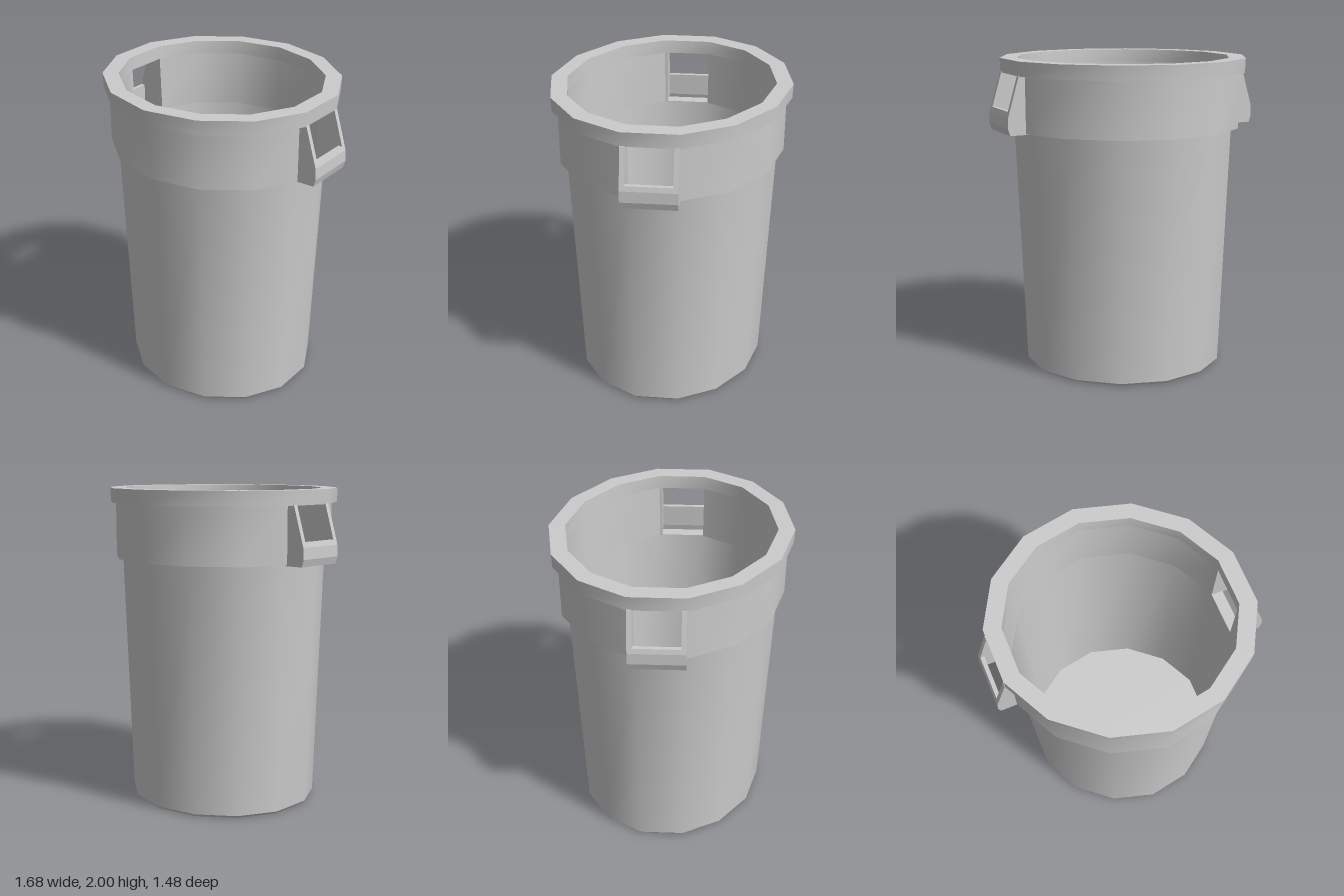
import * as THREE from 'three';

const material = new THREE.MeshStandardMaterial({ color: 0xcccccc });

// Half of the 14-sided rim outline (x, z); the rest is its half-turn copy
const half = [[-0.03, -0.74], [0.31, -0.655], [0.59, -0.44], [0.75, -0.15], [0.762, 0.19], [0.62, 0.475], [0.36, 0.67]];
const outline = [...half, ...half.map(([x, z]) => [-x, -z])];
const N = outline.length;
const HANDLE_FACET = 3; // facet (and its opposite) cut open behind the handles

// One band of wall between two outline copies [scale, y], smooth around the bin
function wallBand([s0, y0], [s1, y1], open) {
  const positions = [], index = [];
  for (const [x, z] of outline) positions.push(x * s0, y0, z * s0, x * s1, y1, z * s1);
  for (let k = 0; k < N; k++) {
    if (open && k % half.length === HANDLE_FACET) continue;
    const a = 2 * k, b = 2 * ((k + 1) % N);
    if (s0 > 0) index.push(a, a + 1, b);
    if (s1 > 0) index.push(b, a + 1, b + 1);
  }
  const geometry = new THREE.BufferGeometry();
  geometry.setAttribute('position', new THREE.Float32BufferAttribute(positions, 3));
  geometry.setIndex(index);
  geometry.computeVertexNormals();
  return geometry;
}

function addMesh(parent, name, geometry) {
  const mesh = new THREE.Mesh(geometry, material);
  mesh.name = name;
  parent.add(mesh);
  return mesh;
}

// Side profile (x, y) extruded along z from z0 to z1
function slab(points, z0, z1) {
  const shape = new THREE.Shape(points.map(([x, y]) => new THREE.Vector2(x, y)));
  return new THREE.ExtrudeGeometry(shape, { depth: z1 - z0, bevelEnabled: false }).translate(0, 0, z0);
}

function createHandle() {
  const handle = new THREE.Group();
  const W = 0.168, T = 0.03;
  const cheek = [[-0.115, 1.556], [0.06, 1.556], [0.073, 1.6], [0.07, 1.67], [-0.003, 1.915], [-0.105, 1.915]];
  const bar = [[0.036, 1.556], [0.06, 1.556], [0.073, 1.6], [0.07, 1.67], [0.061, 1.7], [0.036, 1.7]];
  addMesh(handle, 'handleCheek', slab(cheek, -W, -W + T));
  addMesh(handle, 'handleCheek', slab(cheek, W - T, W));
  addMesh(handle, 'handleBar', slab(bar, -W + T, W - T));
  // Lower edge of the opening through the wall
  addMesh(handle, 'openingSill', new THREE.BoxGeometry(0.073, 0.012, 0.3).translate(-0.079, 1.563, 0));
  handle.position.set(0.76, 0, 0.022);
  handle.rotation.y = 0.04;
  return handle;
}

export function createModel() {
  const model = new THREE.Group();
  model.name = 'bin';

  // Section of the bin from under the base, over the rim, to the inner floor
  const sections = [
    ['base', [0, 0], [0.805, 0]],
    ['baseChamfer', [0.805, 0], [0.82, 0.015]],
    ['body', [0.82, 0.015], [0.893, 1.56]],
    ['bandUnderside', [0.893, 1.56], [0.95, 1.56]],
    ['band', [0.95, 1.56], [0.95, 1.915], true],
    ['rimUnderside', [0.862, 1.915], [0.995, 1.91]],
    ['rimSide', [0.995, 1.91], [1, 2]],
    ['rimTop', [1, 2], [0.865, 2]],
    ['rimInside', [0.865, 2], [0.862, 1.915]],
    ['upperInnerWall', [0.862, 1.915], [0.85, 1.565], true],
    ['innerWall', [0.85, 1.565], [0.8, 0.03]],
    ['innerFloor', [0.8, 0.03], [0, 0.03]],
  ];
  for (const [name, lower, upper, open] of sections) addMesh(model, name, wallBand(lower, upper, open));

  // Two handles, half a turn apart
  for (const [name, turn] of [['leftHandle', 0], ['rightHandle', Math.PI]]) {
    const side = new THREE.Group();
    side.name = name;
    side.rotation.y = turn;
    side.add(createHandle());
    model.add(side);
  }
  return model;
}
